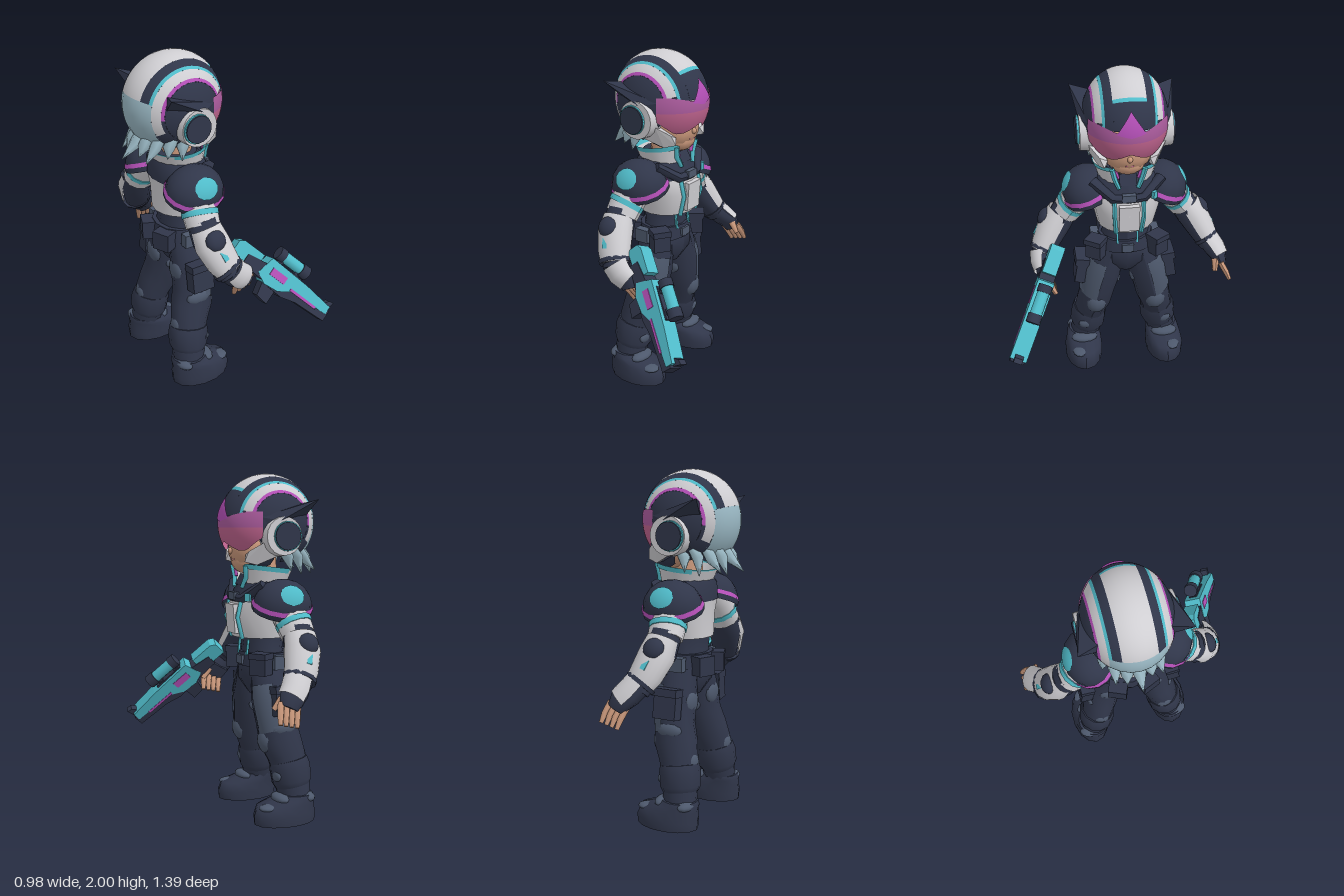
import * as THREE from 'three';
import { ConvexGeometry } from 'three/addons/geometries/ConvexGeometry.js';
import { ParametricGeometry } from 'three/addons/geometries/ParametricGeometry.js';

const PI = Math.PI;
const V = (a) => new THREE.Vector3(a[0], a[1], a[2]);
const material = (name, color, side = THREE.FrontSide) => Object.assign(new THREE.MeshStandardMaterial({ color, side }), { name });
const D = THREE.DoubleSide;
const white = material('armourWhite', 0xcfced2, D), navy = material('navy', 0x30364a, D), slate = material('slate', 0x4d586c, D);
const cyan = material('cyan', 0x50bcca, D), magenta = material('magenta', 0xb550b8, D), visorTop = material('visorPurple', 0xac5c9e, D);
const visorLow = material('visorPink', 0xc0648f, D), hair = material('hairBlue', 0x9ab8c4, D), skin = material('skin', 0xcb997c);

function add(parent, name, geo, mat, pos = [0, 0, 0], rot = [0, 0, 0]) {
  const m = new THREE.Mesh(geo, mat);
  m.name = name;
  m.position.set(...pos);
  m.rotation.set(...rot);
  parent.add(m);
  return m;
}
const box = (p, name, mat, pos, size, rot) => add(p, name, new THREE.BoxGeometry(...size), mat, pos, rot);
const ball = (p, name, mat, pos, size, rot) => add(p, name, new THREE.SphereGeometry(1, 12, 9).scale(...size), mat, pos, rot);
const hull = (p, name, mat, pts, s) => add(p, name, new ConvexGeometry(pts.map(([x, y, z]) => V([x, y, z * s]))), mat);

// Skin elliptical rings along a path; each row is [x, y, z, radius along x, radius across]
function loft(rows, { n = 12, flat = false, start = 0, len = 2 * PI } = {}) {
  const pos = [], idx = [], c = rows.map(V), last = rows.length - 1;
  const rings = rows.map((r, i) => {
    const t = flat ? new THREE.Vector3(0, -1, 0) : c[Math.min(i + 1, last)].clone().sub(c[Math.max(i - 1, 0)]).normalize();
    const e1 = new THREE.Vector3(1, 0, 0).addScaledVector(t, -t.x).normalize(), e2 = t.clone().cross(e1);
    return Array.from({ length: n + 1 }, (_, j) => {
      const a = start + len * j / n;
      return c[i].clone().addScaledVector(e1, Math.cos(a) * r[3]).addScaledVector(e2, Math.sin(a) * r[4]);
    });
  });
  rings.forEach((ring) => ring.forEach((p) => pos.push(p.x, p.y, p.z)));
  for (let i = 0; i < last; i++) for (let j = 0; j < n; j++) {
    const a = i * (n + 1) + j, b = a + n + 1;
    idx.push(a, a + 1, b, a + 1, b + 1, b);
  }
  if (len > 6) [0, last].forEach((i) => {
    const k = pos.length / 3;
    [c[i], ...rings[i]].forEach((p) => pos.push(p.x, p.y, p.z));
    for (let j = 1; j <= n; j++) i ? idx.push(k, k + j, k + j + 1) : idx.push(k, k + j + 1, k + j);
  });
  const g = new THREE.BufferGeometry();
  g.setAttribute('position', new THREE.Float32BufferAttribute(pos, 3));
  g.setIndex(idx);
  g.computeVertexNormals();
  return g;
}
const limb = (p, name, mat, rows, opt) => add(p, name, loft(rows, opt), mat);
// Arc of a ring, mirrored for the other side of the body
const arc = (s, start, len) => ({ start: s > 0 ? start : -start - len, len });

const HC = [-0.155, 1.72, 0], HR = [0.285, 0.28, 0.245];

// Helmet band between two sideways cosines, swept from the front (0) over the top to the back (PI)
function band(p, name, mat, c0, c1, a0, a1, k = 1) {
  const th = Math.acos(c1);
  const g = new THREE.SphereGeometry(k, 28, 6, a0 - PI, a1 - a0, th, Math.acos(c0) - th);
  add(p, name, g.rotateX(PI / 2).scale(...HR), mat, HC);
}
// Front patch of the helmet between two elevation curves
function patch(p, name, mat, width, lo, hi, k) {
  const g = new ParametricGeometry((u, v, out) => {
    const t = (1 - u * 2) * width, e = lo(t) + (hi(t) - lo(t)) * v;
    out.set(k * HR[0] * Math.cos(e) * Math.cos(t), k * HR[1] * Math.sin(e), k * HR[2] * Math.cos(e) * Math.sin(t));
  }, 24, 6);
  add(p, name, g, mat, HC);
}

function buildHead(body) {
  const head = new THREE.Group();
  head.name = 'head';
  body.add(head);
  ball(head, 'face', skin, [-0.065, 1.565, 0], [0.14, 0.135, 0.15]);
  ball(head, 'chin', skin, [-0.02, 1.5, 0], [0.078, 0.072, 0.1]);
  ball(head, 'nose', skin, [0.068, 1.56, 0], [0.02, 0.02, 0.016]);
  box(head, 'mouth', visorLow, [0.054, 1.512, 0], [0.01, 0.006, 0.045]);
  limb(head, 'neck', skin, [[-0.13, 1.52, 0, 0.08, 0.08], [-0.13, 1.36, 0, 0.09, 0.09]]);
  // Helmet shell, painted in lengthwise bands
  band(head, 'helmetLiner', navy, -1, 1, 0.2, PI + 1.0, 0.96);
  band(head, 'browPanel', navy, -0.38, 0.38, 0.15, 0.73);
  band(head, 'browTrim', cyan, -0.38, 0.38, 0.73, 0.81);
  band(head, 'crown', white, -0.38, 0.38, 0.81, PI - 0.3);
  band(head, 'backHair', hair, -0.62, 0.62, PI - 0.3, PI + 0.75);
  for (const s of [1, -1]) {
    const side = (name, mat, lo, hi, a0, a1, k) => band(head, name, mat, Math.min(s * lo, s * hi), Math.max(s * lo, s * hi), a0, a1, k);
    side('crownStripe', navy, 0.38, 0.56, 0.15, PI - 0.3);
    side('crownTrim', cyan, 0.56, 0.62, 0.15, PI - 0.3);
    side('sideShell', white, 0.62, 0.765, 0.3, PI + 0.55);
    side('sideTrim', magenta, 0.765, 0.81, 0.2, PI + 0.1);
    side('sidePanel', navy, 0.81, 1, 0, 2 * PI);
    side('sidePanelRear', navy, 0.765, 0.81, PI + 0.1, PI + 1.5);
    side('napePanel', navy, 0.6, 0.765, PI + 0.55, PI + 1.5);
    // Ear cup, jaw guard and swept fin
    [[white, 0.118, 0.255, -0.145], [cyan, 0.091, 0.265, -0.163], [navy, 0.085, 0.273, -0.16]].forEach(([m, r, z, x]) =>
      add(head, 'earCup', new THREE.CylinderGeometry(r * 0.92, r, 0.09, 20), m, [x, 1.645, s * (z - 0.035)], [s * PI / 2, 0, 0]));
    hull(head, 'jawGuard', white, [[-0.15, 1.6, 0.235], [-0.13, 1.535, 0.22], [-0.04, 1.61, 0.22], [0.03, 1.56, 0.165], [0.045, 1.5, 0.14],
      [-0.02, 1.482, 0.165], [-0.05, 1.59, 0.15], [-0.02, 1.485, 0.12], [0.03, 1.54, 0.12]], s);
    hull(head, 'chinStrap', navy, [[-0.14, 1.54, 0.17], [-0.05, 1.49, 0.15], [0.0, 1.455, 0.09], [-0.03, 1.435, 0.08], [-0.12, 1.48, 0.13], [0.01, 1.49, 0.12]], s);
    hull(head, 'helmetFin', navy, [[-0.34, 1.85, 0.3], [-0.31, 1.76, 0.2], [-0.02, 1.705, 0.21], [-0.02, 1.75, 0.215], [-0.3, 1.83, 0.19], [-0.12, 1.73, 0.265]], s);
  }
  // Visor with a pointed brow
  const low = (t) => -0.38 - 0.2 * Math.min(1, Math.abs(t) / 0.45) + Math.max(0, Math.abs(t) - 0.7) * 0.7;
  patch(head, 'visorLower', visorLow, 1.12, low, () => -0.1, 1.02);
  patch(head, 'visorUpper', visorTop, 1.12, () => -0.1, (t) => 0.06 + 0.15 * Math.min(1, Math.abs(t) / 0.75), 1.02);
  patch(head, 'visorPoint', magenta, 0.32, (t) => 0.02 + 0.2 * Math.abs(t), (t) => 0.1 + 0.44 * (1 - Math.abs(t) / 0.32), 1.03);
  // Ragged hair below the shell
  for (let i = -4; i <= 4; i++) {
    const a = i * 0.34, x = -0.15 - 0.23 * Math.cos(a), z = 0.18 * Math.sin(a), out = i % 2 ? 0.05 : 0.1;
    limb(head, 'hairSpike', hair, [[x + 0.03, 1.58, z, 0.03, 0.04], [x - 0.01, 1.52, z * 1.05, 0.035, 0.04],
      [x - out * Math.cos(a), 1.445 + (i % 2) * 0.02, z * 1.15, 0.002, 0.002]], { n: 6 });
  }
}

function buildTorso(body) {
  limb(body, 'jacketYoke', navy, [[-0.14, 1.42, 0, 0.12, 0.13], [-0.135, 1.36, 0, 0.155, 0.2], [-0.12, 1.27, 0, 0.172, 0.225]], { n: 16, flat: true });
  limb(body, 'jacket', white, [[-0.12, 1.28, 0, 0.17, 0.222], [-0.1, 1.19, 0, 0.178, 0.2], [-0.115, 1.06, 0, 0.162, 0.17]], { n: 16, flat: true });
  limb(body, 'waist', navy, [[-0.13, 1.09, 0, 0.13, 0.145], [-0.13, 0.99, 0, 0.115, 0.14], [-0.13, 0.88, 0, 0.135, 0.175],
    [-0.13, 0.8, 0, 0.13, 0.17], [-0.13, 0.72, 0, 0.08, 0.07]], { flat: true });
  limb(body, 'belt', navy, [[-0.135, 0.97, 0, 0.14, 0.165], [-0.135, 0.89, 0, 0.15, 0.185]], { flat: true });
  box(body, 'buckle', slate, [0.008, 0.925, 0], [0.02, 0.05, 0.07]);
  box(body, 'collarLining', navy, [-0.005, 1.39, 0], [0.02, 0.07, 0.1], [0, 0, 0.5]);
  box(body, 'chestPlate', white, [0.06, 1.17, 0], [0.03, 0.17, 0.12], [0, 0, -0.08]);
  box(body, 'chestBuckle', slate, [0.052, 1.3, 0], [0.03, 0.045, 0.08]);
  box(body, 'strapLight', cyan, [0.03, 1.3, -0.15], [0.02, 0.045, 0.03], [0, 0.7, 0]);
  // Stand-up collar, open at the front
  const collar = (name, mat, r0, r1, h, y) => add(body, name,
    new THREE.CylinderGeometry(r0, r1, h, 18, 1, true, PI / 2 + 0.5, 2 * PI - 1).scale(1, 1, 1.12), mat, [-0.125, y, 0], [0, 0, 0.12]);
  collar('collar', white, 0.168, 0.14, 0.1, 1.41);
  collar('collarTrim', cyan, 0.174, 0.166, 0.028, 1.455);
  for (const s of [1, -1]) {
    limb(body, 'collarEdge', cyan, [[0.02, 1.475, s * 0.095, 0.014, 0.016], [0.01, 1.41, s * 0.08, 0.016, 0.016], [0.025, 1.35, s * 0.055, 0.012, 0.012]], { n: 6 });
    limb(body, 'collarInnerEdge', magenta, [[0.008, 1.455, s * 0.075, 0.01, 0.014], [0.008, 1.41, s * 0.06, 0.01, 0.012]], { n: 6 });
    limb(body, 'jacketPiping', cyan, [[0.043, 1.27, s * 0.085, 0.013, 0.014], [0.064, 1.18, s * 0.085, 0.013, 0.014], [0.03, 1.055, s * 0.075, 0.013, 0.014]], { n: 6 });
    limb(body, 'chestStrap', navy, [[-0.05, 1.37, s * 0.2, 0.04, 0.03], [0.035, 1.29, s * 0.09, 0.02, 0.03], [0.048, 1.29, 0, 0.02, 0.025]], { n: 6 });
    box(body, 'waistTrim', cyan, [-0.01, 1.0, s * 0.06], [0.012, 0.09, 0.012], [0, 0, 0.1]);
    box(body, 'frontPouch', navy, [-0.04, 0.915, s * 0.185], [0.09, 0.12, 0.1], [0, s * -0.6, 0]);
    box(body, 'pouchFlap', navy, [-0.037, 0.965, s * 0.188], [0.1, 0.035, 0.11], [0, s * -0.6, 0]);
    box(body, 'rearPouch', navy, [-0.275, 0.91, s * 0.09], [0.09, 0.11, 0.11], [0, s * 0.4, 0]);
    box(body, 'sidePouch', slate, [-0.16, 0.92, s * 0.185], [0.09, 0.08, 0.05]);
  }
}

function buildLeg(body, s) {
  const leg = new THREE.Group();
  leg.name = s > 0 ? 'rightLeg' : 'leftLeg';
  body.add(leg);
  limb(leg, 'trouserLeg', navy, [[-0.13, 0.88, s * 0.09, 0.11, 0.09], [-0.13, 0.7, s * 0.135, 0.12, 0.115], [-0.14, 0.58, s * 0.163, 0.115, 0.11],
    [-0.16, 0.47, s * 0.187, 0.128, 0.108], [-0.19, 0.38, s * 0.21, 0.115, 0.1], [-0.215, 0.25, s * 0.232, 0.105, 0.1], [-0.225, 0.1, s * 0.26, 0.095, 0.09]]);
  limb(leg, 'thighPanel', slate, [[-0.13, 0.78, s * 0.115, 0.121, 0.109], [-0.13, 0.7, s * 0.135, 0.126, 0.121], [-0.14, 0.58, s * 0.163, 0.12, 0.116], [-0.15, 0.53, s * 0.174, 0.122, 0.113]],
    { n: 8, ...arc(s, 0.1, 1.2) });
  limb(leg, 'calfStrap', navy, [[-0.2, 0.35, s * 0.218, 0.115, 0.105], [-0.207, 0.31, s * 0.225, 0.122, 0.113], [-0.215, 0.23, s * 0.235, 0.118, 0.113], [-0.22, 0.2, s * 0.24, 0.103, 0.1]]);
  limb(leg, 'boot', navy, [[-0.225, 0.16, s * 0.258, 0.105, 0.1], [-0.215, 0.135, s * 0.262, 0.125, 0.108], [-0.16, 0.105, s * 0.265, 0.178, 0.115],
    [-0.152, 0.05, s * 0.27, 0.192, 0.122], [-0.152, 0, s * 0.27, 0.188, 0.12]], { n: 14, flat: true });
  // Slate pads and camouflage patches
  [['kneePad', -0.08, 0.47, 0.187, 0.058, 0.08, 0.068], ['hipPatch', -0.15, 0.55, 0.25, 0.08, 0.05, 0.036], ['calfPatch', -0.28, 0.37, 0.21, 0.03, 0.06, 0.05],
    ['rearPatch', -0.225, 0.7, 0.13, 0.03, 0.07, 0.07], ['innerPatch', -0.13, 0.64, 0.05, 0.06, 0.05, 0.022], ['anklePatch', -0.13, 0.14, 0.265, 0.05, 0.03, 0.085],
    ['toePatch', -0.04, 0.1, 0.3, 0.06, 0.02, 0.05], ['heelPatch', -0.28, 0.14, 0.29, 0.05, 0.03, 0.075], ['shinPatch', -0.11, 0.27, 0.25, 0.02, 0.035, 0.05]]
    .forEach(([name, x, y, z, ...size]) => ball(leg, name, slate, [x, y, s * z], size));
  box(leg, 'thighPouch', navy, [-0.15, 0.71, s * 0.27], [0.14, 0.17, 0.075], [s * -0.15, 0, 0]);
  box(leg, 'thighPouchFlap', navy, [-0.15, 0.775, s * 0.267], [0.148, 0.045, 0.085], [s * -0.15, 0, 0]);
}

function buildArm(body, s) {
  const arm = new THREE.Group();
  arm.name = s > 0 ? 'rightArm' : 'leftArm';
  body.add(arm);
  limb(arm, 'sleeve', white, [[-0.15, 1.32, s * 0.2, 0.11, 0.1], [-0.17, 1.22, s * 0.27, 0.11, 0.09], [-0.185, 1.1, s * 0.355, 0.1, 0.085]]);
  limb(arm, 'sleeveStripe', cyan, [[-0.177, 1.17, s * 0.307, 0.109, 0.094], [-0.182, 1.145, s * 0.325, 0.107, 0.092]]);
  limb(arm, 'forearm', navy, [[-0.185, 1.13, s * 0.345, 0.09, 0.08], [-0.18, 1.03, s * 0.4, 0.095, 0.082], [-0.14, 0.92, s * 0.465, 0.085, 0.068], [-0.105, 0.84, s * 0.52, 0.075, 0.06]]);
  limb(arm, 'forearmGuard', white, [[-0.185, 1.1, s * 0.38, 0.09, 0.08], [-0.175, 1.02, s * 0.43, 0.105, 0.09], [-0.14, 0.92, s * 0.485, 0.097, 0.08], [-0.115, 0.87, s * 0.515, 0.085, 0.066]], arc(s, -0.35, PI + 0.7));
  ball(arm, 'elbowPad', navy, [-0.185, 1.065, s * 0.478], [0.062, 0.062, 0.042], [s * -0.53, 0, 0]);
  box(arm, 'guardLight', cyan, [-0.165, 0.985, s * 0.527], [0.03, 0.06, 0.03], [s * -0.53, 0, 0.3]);
  box(arm, 'guardTrim', magenta, [-0.09, 0.955, s * 0.508], [0.016, 0.09, 0.034], [s * -0.53, 0, 0.3]);
  limb(arm, 'cuff', navy, [[-0.125, 0.885, s * 0.5, 0.098, 0.08], [-0.115, 0.868, s * 0.512, 0.094, 0.076]]);
  // Layered shoulder dome
  const pad = new THREE.Group();
  pad.name = 'shoulderPad';
  pad.position.set(-0.155, 1.255, s * 0.22);
  pad.rotation.x = s * 0.38;
  pad.scale.set(0.172, 0.15, 0.15);
  arm.add(pad);
  add(pad, 'padShell', new THREE.SphereGeometry(1, 16, 6, 0, 2 * PI, 0, PI / 2), navy);
  add(pad, 'padTrim', new THREE.CylinderGeometry(1.01, 1.06, 0.16, 16, 1, true), magenta, [0, 0.07, 0]);
  add(pad, 'padEdge', new THREE.CylinderGeometry(1.06, 1.03, 0.2, 16, 1, true), navy, [0, -0.11, 0]);
  add(pad, 'padEmblem', new THREE.SphereGeometry(1.035, 12, 4, 0, 2 * PI, 0, 0.42), cyan, [0, 0, 0], [s * 0.72, 0, 0]);
  // Gloved hand with a white back, then fingers
  const [px, py, pz] = s > 0 ? [-0.02, 0.785, 0.505] : [-0.035, 0.78, -0.575], spread = s > 0 ? -0.06 : 0.055;
  const hand = [[-0.11, 0.87, s * 0.51, 0.075, 0.06], [(px - 0.115) / 2, 0.82, (pz + s * 0.52) / 2, 0.075, 0.058], [px, py, pz, 0.07, 0.048]];
  limb(arm, 'glove', navy, [...hand, [px + 0.02, py - 0.04, pz + s * 0.01, 0.055, 0.036]]);
  limb(arm, 'handGuard', white, hand.map(([x, y, z, a, b]) => [x, y, z, a + 0.012, b + 0.014]), { n: 8, ...arc(s, 0, 2.3) });
  for (let i = 0; i < 4; i++) {
    const x = px - 0.04 + i * 0.033, y = py - 0.03 + i * 0.008;
    limb(arm, 'finger', skin, [[x, y, pz, 0.02, 0.02], [x + 0.02, y - 0.06, pz + s * spread * 0.6, 0.019, 0.019], [x + 0.03, y - 0.11, pz + s * spread, 0.013, 0.013]], { n: 6 });
  }
  limb(arm, 'thumb', skin, [[px + 0.04, py + 0.01, pz - s * 0.03, 0.024, 0.024], [px + 0.085, py - 0.05, pz - s * 0.04, 0.015, 0.015]], { n: 6 });
}

function buildBlaster(root) {
  const gun = new THREE.Group();
  gun.name = 'blaster';
  root.add(gun);
  const u = new THREE.Vector3(0.633, -0.66, 0.404).normalize(), up = new THREE.Vector3(0.57, 0.78, -0.2);
  const v = up.addScaledVector(u, -up.dot(u)).normalize();
  gun.quaternion.setFromRotationMatrix(new THREE.Matrix4().makeBasis(u, v, u.clone().cross(v)));
  gun.position.set(-0.01, 0.95, 0.365);
  const slab = (name, mat, pts, depth) => add(gun, name,
    new THREE.ExtrudeGeometry(new THREE.Shape(pts.map((p) => new THREE.Vector2(...p))), { depth, bevelEnabled: false }), mat, [0, 0, -depth / 2]);
  slab('stock', cyan, [[-0.01, -0.05], [0.17, -0.05], [0.17, 0.05], [0.02, 0.05], [-0.01, 0.03]], 0.085);
  slab('stockLink', navy, [[0.08, -0.065], [0.27, -0.075], [0.27, 0.03], [0.08, 0.0]], 0.095);
  slab('receiver', cyan, [[0.19, -0.05], [0.26, -0.085], [0.36, -0.075], [0.44, -0.025], [0.7, -0.015], [0.7, 0.035], [0.5, 0.055], [0.22, 0.065]], 0.1);
  slab('barrelShroud', navy, [[0.3, -0.085], [0.4, -0.09], [0.5, -0.065], [0.715, -0.055], [0.715, 0.01], [0.36, 0.0]], 0.085);
  slab('magazine', navy, [[0.25, -0.07], [0.35, -0.07], [0.35, -0.17], [0.27, -0.16]], 0.07);
  slab('grip', navy, [[0.1, -0.04], [0.18, -0.04], [0.15, -0.19], [0.07, -0.18]], 0.055);
  slab('frontSight', navy, [[0.66, 0.025], [0.71, 0.02], [0.72, 0.07], [0.69, 0.065]], 0.05);
  box(gun, 'topRail', navy, [0.36, 0.062, 0], [0.2, 0.012, 0.05]);
  for (const s of [1, -1]) {
    box(gun, 'sidePanel', magenta, [0.31, 0.0, s * 0.05], [0.11, 0.045, 0.008]);
    box(gun, 'barrelStripe', magenta, [0.52, -0.022, s * 0.049], [0.2, 0.016, 0.008]);
  }
  // Scope on two mounts
  const tube = (name, mat, x, r, l) => add(gun, name, new THREE.CylinderGeometry(r, r, l, 10), mat, [x, 0.115, 0], [0, 0, PI / 2]);
  tube('scopeBody', cyan, 0.365, 0.036, 0.18);
  tube('scopeRear', navy, 0.27, 0.042, 0.045);
  tube('scopeFront', navy, 0.45, 0.043, 0.055);
  [0.29, 0.42].forEach((x) => box(gun, 'scopeMount', navy, [x, 0.07, 0], [0.035, 0.05, 0.03]));
}

export function createModel() {
  const root = new THREE.Group();
  root.name = 'armouredFigure';
  const body = new THREE.Group();
  body.name = 'body';
  body.position.z = -0.055;
  root.add(body);
  buildHead(body);
  buildTorso(body);
  for (const s of [1, -1]) {
    buildLeg(body, s);
    buildArm(body, s);
  }
  buildBlaster(root);
  return root;
}
